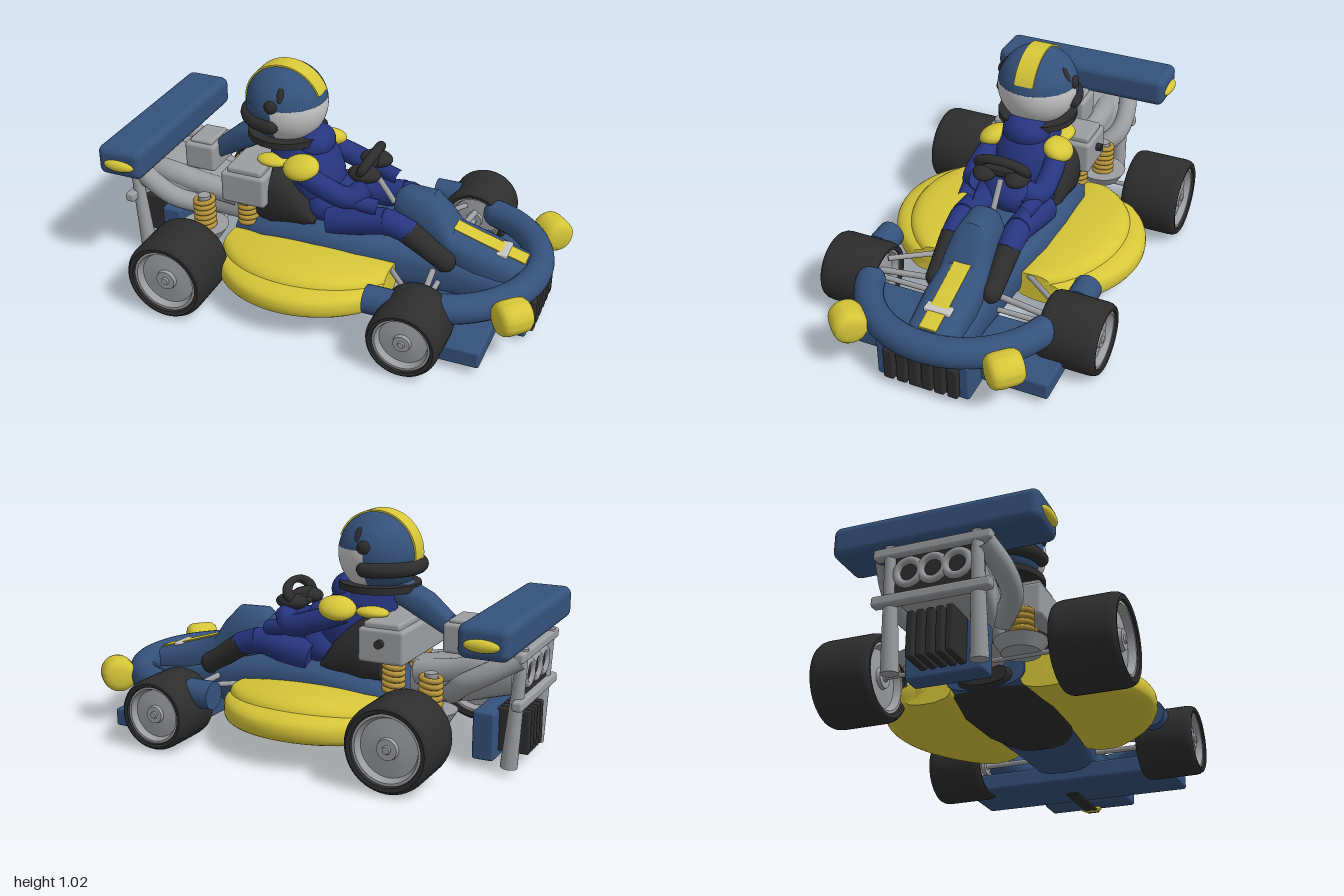
import * as THREE from 'three';
import { toCreasedNormals } from 'three/addons/utils/BufferGeometryUtils.js';
import { RoundedBoxGeometry } from 'three/addons/geometries/RoundedBoxGeometry.js';

const V = (x, y, z) => new THREE.Vector3(x, y, z);
const mat = (name, color) => Object.assign(new THREE.MeshStandardMaterial({ color }), { name });

// Skin over superellipse sections across x; row = [x, y, z, halfHeight, halfWidth, exponent]
function loft(rows, n = 32) {
  const pos = [], idx = [];
  const ring = ([x, y, z, h, w, e = 2]) => {
    for (let j = 0; j < n; j++) {
      const a = j / n * Math.PI * 2, c = Math.cos(a), s = Math.sin(a);
      pos.push(x, y + h * Math.sign(s) * Math.abs(s) ** (2 / e), z + w * Math.sign(c) * Math.abs(c) ** (2 / e));
    }
  };
  rows.forEach(ring);
  const last = rows.length - 1;
  for (let i = 0; i < last; i++) for (let j = 0; j < n; j++) {
    const a = i * n + j, b = i * n + (j + 1) % n;
    idx.push(a, a + n, b, a + n, b + n, b);
  }
  const c = pos.length / 3;
  pos.push(...rows[0].slice(0, 3), ...rows[last].slice(0, 3));
  for (let j = 0; j < n; j++) {
    const k = (j + 1) % n;
    idx.push(c, j, k, c + 1, last * n + k, last * n + j);
  }
  const g = new THREE.BufferGeometry();
  g.setAttribute('position', new THREE.Float32BufferAttribute(pos, 3));
  g.setIndex(idx);
  return toCreasedNormals(g, 0.7);
}

export function createModel() {
  const group = new THREE.Group();
  const blue = mat('bodyBlue', 0x35527c), yellow = mat('yellow', 0xd6c638), black = mat('rubberBlack', 0x2d2d2d),
    grey = mat('metalGrey', 0x9b9da0), suit = mat('suitNavy', 0x26357f), pale = mat('visorGrey', 0xc6c6c6), gold = mat('springGold', 0xb4923a);

  const add = (name, geo, m, p = [0, 0, 0], r = [0, 0, 0], s = [1, 1, 1]) => {
    const o = new THREE.Mesh(geo, m);
    o.name = name; o.position.set(...p); o.rotation.set(...r); o.scale.set(...s);
    group.add(o);
    return o;
  };
  const box = (name, m, x0, x1, y0, y1, z0, z1, r = 0.012) =>
    add(name, new RoundedBoxGeometry(x1 - x0, y1 - y0, z1 - z0, 3, r), m, [(x0 + x1) / 2, (y0 + y1) / 2, (z0 + z1) / 2]);
  const ball = (name, m, p, s, r) => add(name, new THREE.SphereGeometry(1, 32, 20), m, p, r, s);
  const rod = (name, m, a, b, r0, r1 = r0) => {
    const A = V(...a), B = V(...b), d = B.clone().sub(A);
    const o = add(name, new THREE.CylinderGeometry(r1, r0, d.length(), 20), m, A.clone().add(B).multiplyScalar(0.5).toArray());
    o.quaternion.setFromUnitVectors(V(0, 1, 0), d.normalize());
  };
  const tube = (name, m, pts, r) => add(name, new THREE.TubeGeometry(new THREE.CatmullRomCurve3(pts.map(p => V(...p))), 32, r, 14), m);
  const lathe = pts => toCreasedNormals(new THREE.LatheGeometry(pts.map(p => new THREE.Vector2(...p)), 48), 0.6);
  const sides = f => [1, -1].forEach(f);

  // Wheels: tyre and dished rim, spun about z
  const wheel = (name, x, y, r, w, z) => {
    const both = pts => lathe([...pts.map(([a, b]) => [a, -b]).reverse(), ...pts].map(([a, b]) => [a * r, b * w]));
    add(name + 'Tyre', both([[1, 0.72], [0.985, 0.86], [0.94, 0.97], [0.9, 1], [0.81, 0.98], [0.78, 0.85]]), black, [x, y, z], [Math.PI / 2, 0, 0]);
    add(name + 'Rim', both([[0.79, 0.9], [0.73, 0.9], [0.66, 0.68], [0.25, 0.74], [0.23, 0.86], [0.1, 0.86], [0.08, 0.92], [0, 0.92]]), grey, [x, y, z], [Math.PI / 2, 0, 0]);
  };
  sides(s => {
    wheel('rearWheel', -0.575, 0.19, 0.185, 0.134, s * 0.505);
    wheel('frontWheel', 0.51, 0.165, 0.157, 0.13, s * 0.51);
  });
  rod('rearAxle', grey, [-0.575, 0.19, -0.45], [-0.575, 0.19, 0.45], 0.01);
  rod('frontAxle', grey, [0.51, 0.165, -0.45], [0.51, 0.165, 0.45], 0.012);

  // Side pods: curved lower skirt with a narrower top deck
  sides(s => {
    const skirt = [], deck = [];
    for (let i = 0; i <= 20; i++) {
      const x = -0.455 + i * 0.0388, u = (x + 0.067) / 0.388;
      const arc = Math.sqrt(0.198 - (x + 0.067) ** 2);
      const o = 0.145 + arc, d = 0.12 + arc * 0.88, lift = 0.04 * (1 - u * u);
      skirt.push([x, 0.158 + lift / 3, s * (o + 0.17) / 2, 0.055 + lift / 3, (o - 0.17) / 2, 3]);
      deck.push([x, 0.175 + lift / 2, s * (d + 0.15) / 2, 0.065 + lift / 2, (d - 0.15) / 2, 3.2]);
    }
    add('sidePodSkirt', loft(skirt), yellow);
    add('sidePodDeck', loft(deck), yellow);
  });

  // Central tub, dark belly, nose and its stripe
  add('tub', loft([[-0.46, 0.2, 0, 0.07, 0.17, 3], [-0.3, 0.225, 0, 0.115, 0.23, 3], [-0.05, 0.24, 0, 0.13, 0.235, 3],
    [0.15, 0.23, 0, 0.125, 0.22, 3], [0.34, 0.2, 0, 0.115, 0.17, 3], [0.6, 0.17, 0, 0.1, 0.14, 3], [0.86, 0.14, 0, 0.09, 0.13, 3]]), blue);
  add('belly', loft([[-0.48, 0.18, 0, 0.04, 0.1, 2.5], [-0.4, 0.16, 0, 0.06, 0.17, 2.5], [-0.2, 0.15, 0, 0.06, 0.21, 2.5],
    [0.05, 0.15, 0, 0.06, 0.2, 2.5], [0.2, 0.15, 0, 0.055, 0.15, 2.5], [0.27, 0.15, 0, 0.03, 0.08, 2.5]]), black);
  add('nose', loft([[0.27, 0.44, 0, 0.06, 0.06, 2.2], [0.31, 0.42, 0, 0.11, 0.09, 2.2], [0.44, 0.37, 0, 0.155, 0.1, 2.2], [0.5, 0.33, 0, 0.13, 0.107, 2.4],
    [0.545, 0.29, 0, 0.09, 0.112, 2.8], [0.66, 0.25, 0, 0.092, 0.12, 3], [0.78, 0.21, 0, 0.095, 0.115, 3], [0.87, 0.19, 0, 0.088, 0.11, 3]]), blue);
  add('noseStripe', loft([[0.53, 0.389, 0, 0.004, 0.04, 6], [0.55, 0.379, 0, 0.004, 0.04, 6], [0.66, 0.344, 0, 0.004, 0.04, 6],
    [0.78, 0.307, 0, 0.004, 0.04, 6], [0.865, 0.282, 0, 0.004, 0.04, 6]]), yellow);
  box('noseClip', pale, 0.735, 0.785, 0.29, 0.318, -0.06, 0.06, 0.008);
  ball('noseSkid', yellow, [0.89, 0.017, 0], [0.025, 0.014, 0.05]);
  box('floorPlate', black, 0.6, 0.92, 0.006, 0.018, -0.03, 0.03, 0.004);

  // Front splitter, grille and bumper hoop
  box('splitter', blue, 0.48, 0.805, 0.035, 0.115, -0.5, 0.5);
  box('grilleHousing', blue, 0.8, 0.925, 0.025, 0.2, -0.21, 0.21);
  [-0.145, -0.085, -0.03, 0.03, 0.085, 0.145].forEach(z => box('grilleSlat', black, 0.87, 0.95, 0.035, 0.19, z - 0.024, z + 0.024, 0.01));
  const hoop = new THREE.TorusGeometry(0.425, 0.064, 20, 48, 2.5);
  hoop.rotateZ(-1.25).rotateX(Math.PI / 2);
  add('bumperHoop', hoop, blue, [0.485, 0.225, 0]);
  const lamp = lathe([[0, -0.076], [0.04, -0.075], [0.06, -0.069], [0.072, -0.055], [0.076, -0.03], [0.076, 0.03], [0.072, 0.055], [0.06, 0.069], [0.04, 0.075], [0, 0.076]]);
  sides(s => {
    // Lamps lie along the hoop, angled across each front corner
    add('headlight', lamp, yellow, [0.895, 0.228, s * 0.352], [Math.PI / 2, 0, s * Math.PI / 4]);
    ball('bumperEnd', blue, [0.619, 0.225, s * 0.403], [0.064, 0.064, 0.064]);
    rod('wheelFairing', blue, [0.3, 0.24, s * 0.475], [0.42, 0.24, s * 0.475], 0.062);
    rod('steeringArm', grey, [0.29, 0.22, s * 0.18], [0.47, 0.24, s * 0.4], 0.012);
    rod('wishbone', grey, [0.48, 0.22, s * 0.1], [0.51, 0.2, s * 0.42], 0.014);
  });

  // Rear wing, lights and support frame
  add('rearWing', new RoundedBoxGeometry(0.215, 0.14, 0.865, 5, 0.035), blue, [-0.882, 0.605, 0]);
  sides(s => {
    ball('wingLight', yellow, [-0.88, 0.597, s * 0.43], [0.075, 0.027, 0.026]);
    rod('frameLeg', grey, [-0.925, 0.03, s * 0.18], [-0.968, 0.54, s * 0.18], 0.036, 0.022);
    tube('frameBrace', grey, [[-0.96, 0.5, s * 0.2], [-0.84, 0.43, s * 0.235], [-0.74, 0.37, s * 0.23], [-0.66, 0.3, s * 0.15]], 0.045);
    tube('exhaust', grey, [[-0.94, 0.42, s * 0.1], [-0.8, 0.42, s * 0.12], [-0.65, 0.38, s * 0.1], [-0.48, 0.35, s * 0.08]], 0.055);
    add('springSeat', new THREE.CylinderGeometry(0.11, 0.08, 0.05, 32), grey, [-0.595, 0.215, s * 0.21]);
  });
  [-0.1, 0, 0.1].forEach(z => add('exhaustRing', new THREE.TorusGeometry(0.05, 0.016, 12, 28), grey, [-0.965, 0.42, z], [0, Math.PI / 2, 0]));
  box('framePanel', black, -0.965, -0.945, 0.32, 0.51, -0.19, 0.19, 0.008);
  [0.31, 0.51].forEach(y => box('frameBar', grey, -0.99, -0.945, y - 0.022, y + 0.022, -0.245, 0.245));
  add('gearbox', loft([[-0.93, 0.4, 0, 0.08, 0.2, 3], [-0.75, 0.36, 0, 0.1, 0.17, 3], [-0.62, 0.33, 0, 0.1, 0.14, 3], [-0.45, 0.3, 0, 0.1, 0.1, 3]]), grey);
  box('rearCooler', blue, -0.85, -0.755, 0.03, 0.24, -0.16, 0.16);
  for (let i = -2; i <= 2; i++) box('coolerSlat', black, -0.98, -0.84, 0.06, 0.25, i * 0.04 - 0.015, i * 0.04 + 0.015, 0.008);

  // Engine boxes, intake and springs
  box('rearEngineBox', grey, -0.74, -0.59, 0.45, 0.58, -0.1, 0.1, 0.016);
  box('rearEngineLid', grey, -0.72, -0.61, 0.57, 0.595, -0.08, 0.08, 0.01);
  box('engineBox', grey, -0.48, -0.27, 0.41, 0.56, -0.25, 0.25, 0.016);
  box('engineLid', grey, -0.455, -0.29, 0.53, 0.585, -0.235, 0.235, 0.012);
  rod('fillerCap', black, [-0.375, 0.5, -0.245], [-0.375, 0.5, -0.275], 0.018);
  add('airIntake', loft([[-0.6, 0.54, 0, 0.05, 0.045, 3], [-0.5, 0.61, 0, 0.065, 0.06, 3], [-0.36, 0.68, 0, 0.055, 0.08, 3]]), blue);
  // Rear pair stands wider than the pair under the engine box
  sides(s => [[-0.59, 0.24, 0.38, 0.21], [-0.395, 0.28, 0.41, 0.15]].forEach(([x, a, b, z]) => {
    rod('damper', grey, [x, a, s * z], [x, b + 0.015, s * z], 0.028);
    for (let y = a; y <= b; y += 0.026) add('springCoil', new THREE.TorusGeometry(0.041, 0.012, 10, 24), gold, [x, y, s * z], [Math.PI / 2, 0.12, 0]);
  }));

  // Seat
  add('seat', loft([[-0.34, 0.38, 0, 0.1, 0.19, 2.5], [-0.27, 0.42, 0, 0.18, 0.21, 2.5],
    [-0.18, 0.41, 0, 0.14, 0.205, 2.5], [-0.11, 0.38, 0, 0.09, 0.2, 2.5], [-0.06, 0.35, 0, 0.04, 0.18]]), black);

  // Driver body
  ball('torso', suit, [-0.13, 0.52, 0], [0.13, 0.21, 0.155], [0, 0, 0.3]);
  ball('hips', suit, [-0.04, 0.4, 0], [0.14, 0.1, 0.17]);
  rod('neck', suit, [-0.21, 0.62, 0], [-0.24, 0.72, 0], 0.13, 0.1);
  ball('suitCollar', suit, [-0.13, 0.665, 0], [0.09, 0.075, 0.11]);
  sides(s => {
    ball('shoulderPad', yellow, [-0.13, 0.605, s * 0.155], [0.085, 0.045, 0.07], [s * 0.4, 0, 0.12]);
    ball('backPad', yellow, [-0.28, 0.595, s * 0.12], [0.075, 0.025, 0.05]);
    tube('arm', suit, [[-0.16, 0.59, s * 0.14], [-0.03, 0.54, s * 0.165], [0.1, 0.505, s * 0.155], [0.15, 0.54, s * 0.1]], 0.05);
    tube('cuff', suit, [[0.06, 0.51, s * 0.16], [0.14, 0.49, s * 0.155], [0.22, 0.475, s * 0.14]], 0.035);
    ball('glove', black, [0.135, 0.59, s * 0.075], [0.075, 0.037, 0.055]);
    rod('thigh', suit, [0.0, 0.36, s * 0.13], [0.26, 0.41, s * 0.13], 0.075, 0.058);
    ball('knee', suit, [0.27, 0.405, s * 0.13], [0.065, 0.06, 0.058]);
    rod('shin', suit, [0.27, 0.41, s * 0.13], [0.38, 0.375, s * 0.13], 0.058, 0.052);
    rod('boot', black, [0.36, 0.38, s * 0.13], [0.53, 0.27, s * 0.13], 0.055, 0.045);
    ball('bootToe', black, [0.53, 0.27, s * 0.13], [0.05, 0.05, 0.045]);
  });

  // Steering wheel and column
  add('steeringWheel', new THREE.TorusGeometry(0.075, 0.022, 12, 36), black, [0.135, 0.622, 0], [0.5, Math.PI / 2, 0, 'YXZ'], [1.4, 0.75, 1]);
  box('steeringHub', black, 0.11, 0.16, 0.585, 0.63, -0.1, 0.1);
  rod('steeringColumn', grey, [0.15, 0.57, 0], [0.25, 0.43, 0], 0.013);

  // Helmet shell, visor, stripe and fittings
  const H = [-0.26, 0.838, 0], R = 0.182, cut = 1.42;
  const part = (name, m, p0, pl, t0, tl) => add(name, new THREE.SphereGeometry(R, 40, 24, p0, pl, t0, tl), m, H);
  part('helmetTop', blue, 0, Math.PI * 2, 0, cut);
  part('helmetBack', blue, -Math.PI / 2, Math.PI, cut, Math.PI - cut);
  part('visor', pale, Math.PI / 2, Math.PI, cut, Math.PI - cut);
  add('helmetStripe', new THREE.CylinderGeometry(R + 0.0015, R + 0.0015, 0.09, 48, 1, false, 1.94, 3.1), yellow, H, [Math.PI / 2, 0, 0]);
  const guard = new THREE.TorusGeometry(0.17, 0.033, 14, 40, Math.PI);
  guard.rotateZ(Math.PI / 2).rotateX(Math.PI / 2);
  add('neckGuard', guard, black, [-0.265, 0.787, 0]);
  rod('collar', black, [-0.26, 0.682, 0], [-0.26, 0.712, 0], 0.18);
  sides(s => {
    ball('guardEnd', black, [-0.262, 0.787, s * 0.17], [0.033, 0.033, 0.033]);
    ball('helmetPivot', black, [-0.26, 0.88, s * 0.174], [0.03, 0.03, 0.018]);
    ball('helmetVent', black, [-0.225, 0.93, s * 0.149], [0.016, 0.034, 0.009], [-s * 0.5, 0, 0]);
  });
  return group;
}
